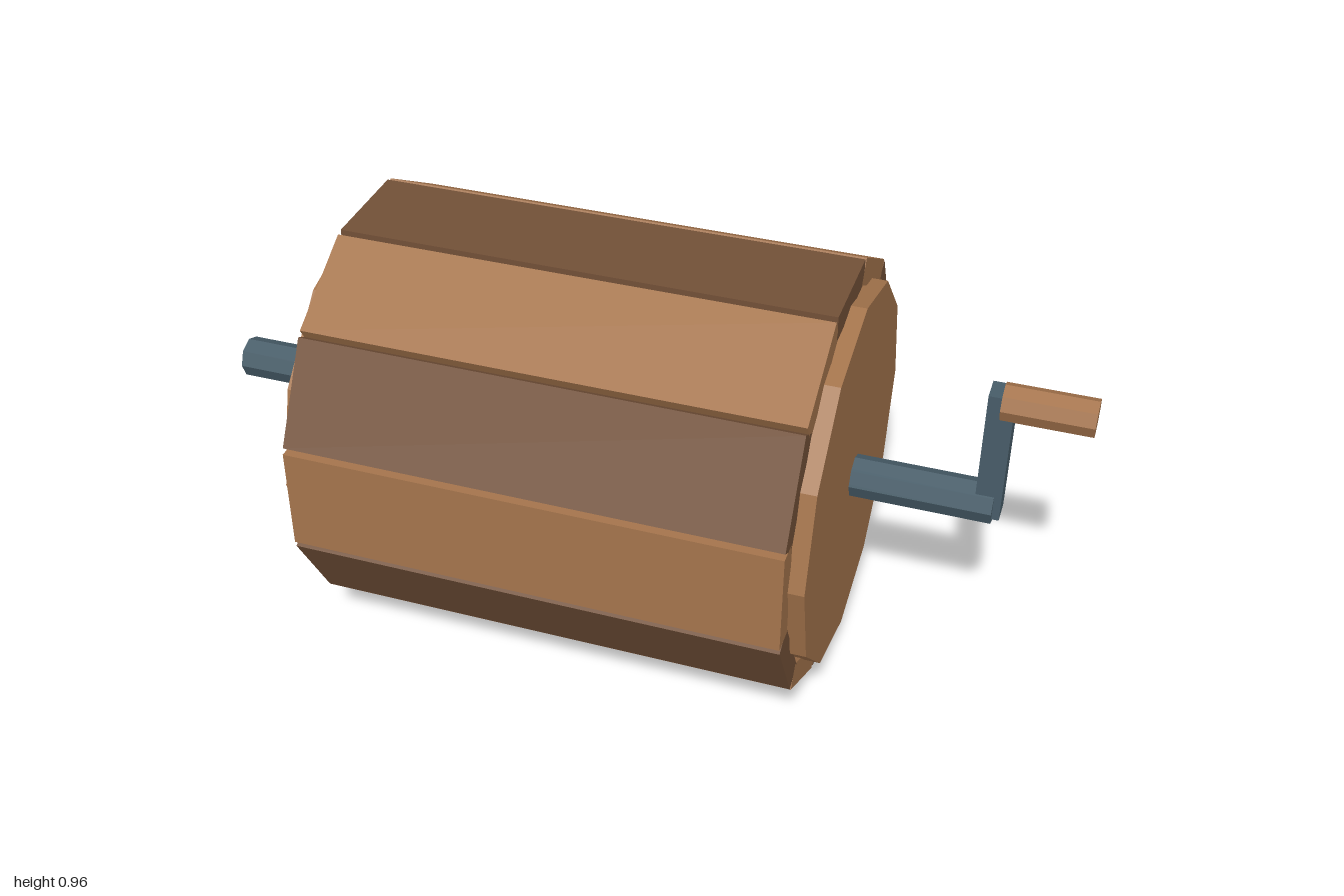
import * as THREE from 'three';

export function createModel() {
  const root = new THREE.Group();
  root.name = 'crankedDrum';
  const AXIS_Y = 0.48;

  const material = (name, color) => {
    const m = new THREE.MeshStandardMaterial({ color, flatShading: true });
    m.name = name;
    return m;
  };
  const lightWood = material('lightWood', 0xa4744c);
  const darkWood = material('darkWood', 0x725037);
  const steel = material('steel', 0x475c68);

  const add = (parent, name, geometry, mat) => {
    const mesh = new THREE.Mesh(geometry, mat);
    mesh.name = name;
    parent.add(mesh);
    return mesh;
  };

  // Faceted rod lying along x, from x0 to x1
  const rod = (name, x0, x1, y, radius, sides, mat) => {
    const geometry = new THREE.CylinderGeometry(radius, radius, x1 - x0, sides);
    geometry.rotateZ(Math.PI / 2);
    add(root, name, geometry, mat).position.set((x0 + x1) / 2, y, 0);
  };

  // Ring of twelve planks in alternating wood
  const planks = new THREE.Group();
  planks.name = 'planks';
  planks.position.set(-0.093, AXIS_Y, 0);
  root.add(planks);
  const plankGeometry = new THREE.BoxGeometry(1.115, 0.06, 0.242);
  plankGeometry.translate(0, 0.45, 0);
  for (let i = 0; i < 12; i++) {
    const plank = add(planks, 'plank', plankGeometry, i % 2 ? lightWood : darkWood);
    plank.rotation.x = (i * Math.PI) / 6;
  }

  // Twelve-sided end discs
  rod('rightEndDisc', -0.68, -0.62, AXIS_Y, 0.436, 12, lightWood);
  rod('leftEndDisc', 0.44, 0.5, AXIS_Y, 0.436, 12, lightWood);

  // Axle, crank arm and grip
  rod('axle', -1, 0.815, AXIS_Y, 0.048, 8, steel);
  const arm = add(root, 'crankArm', new THREE.BoxGeometry(0.057, 0.318, 0.06), steel);
  arm.position.set(0.803, 0.615, 0);
  rod('crankGrip', 0.803, 1, 0.748, 0.042, 8, lightWood);

  return root;
}
